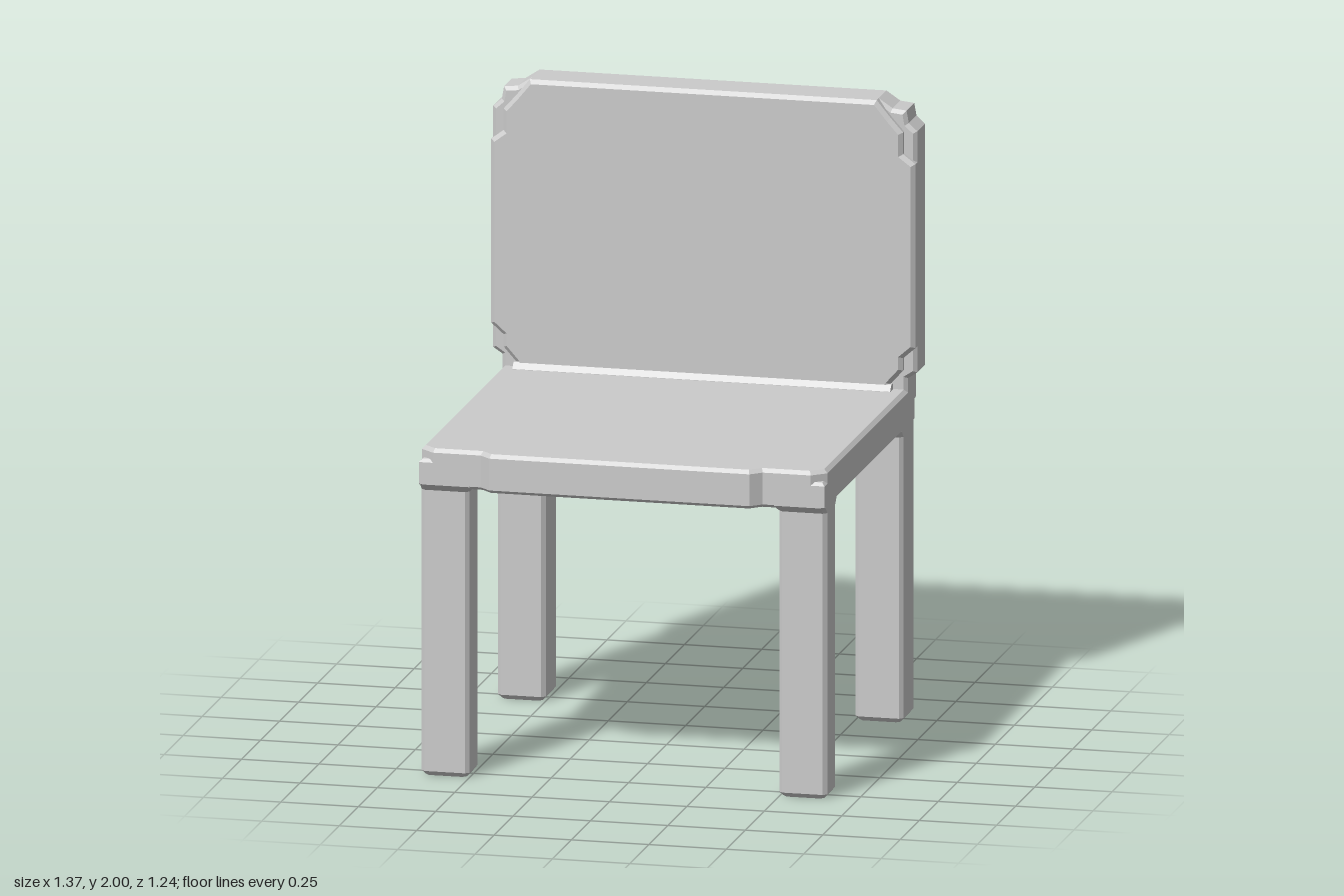
import * as THREE from 'three';

const material = new THREE.MeshStandardMaterial({ color: 0xcccccc, flatShading: true });

function part(name, geometry, parent) {
  const mesh = new THREE.Mesh(geometry, material);
  mesh.name = name;
  parent.add(mesh);
  return mesh;
}

// Bevelled slab from the +x half of a symmetric outline; occupies z = 0..depth
function slab(half, depth, bevel) {
  const mirrored = half.map(([x, y]) => [-x, y]).reverse();
  const shape = new THREE.Shape([...half, ...mirrored].map(([x, y]) => new THREE.Vector2(x, y)));
  return new THREE.ExtrudeGeometry(shape, {
    depth: depth - 2 * bevel, bevelEnabled: true, bevelSegments: 1,
    bevelSize: bevel, bevelThickness: bevel, bevelOffset: -bevel,
  }).translate(0, 0, bevel);
}

// Bar running along x with a profile given as [z, y]
function bar(profile, width) {
  const shape = new THREE.Shape(profile.map(([z, y]) => new THREE.Vector2(z, y)));
  return new THREE.ExtrudeGeometry(shape, { depth: width, bevelEnabled: false })
    .translate(0, 0, -width / 2).rotateY(-Math.PI / 2);
}

// Rectangle with cut corners, at height y
function ring(x0, x1, z0, z1, c, y) {
  return [
    [x0 + c, z1], [x1 - c, z1], [x1, z1 - c], [x1, z0 + c],
    [x1 - c, z0], [x0 + c, z0], [x0, z0 + c], [x0, z1 - c],
  ].map(([x, z]) => [x, y, z]);
}

// Closed skin through rings stacked from bottom to top
function loft(rings) {
  const n = rings[0].length, index = [];
  for (let r = 0; r < rings.length - 1; r++) {
    for (let i = 0; i < n; i++) {
      const a = r * n + i, b = r * n + (i + 1) % n;
      index.push(a, b, b + n, a, b + n, a + n);
    }
  }
  const top = (rings.length - 1) * n;
  for (let i = 1; i < n - 1; i++) {
    index.push(0, i + 1, i, top, top + i, top + i + 1);
  }
  const geometry = new THREE.BufferGeometry();
  geometry.setAttribute('position', new THREE.Float32BufferAttribute(rings.flat(2), 3));
  geometry.setIndex(index);
  const flat = geometry.toNonIndexed();
  flat.computeVertexNormals();
  return flat;
}

// Leg whose top flares into the seat on its inner faces, and at the front if asked
function leg(x0, x1, z0, z1, flare) {
  const c = 0.012, e = 0.012;
  return loft([
    ring(x0 + e, x1 - e, z0 + e, z1 - e, c, 0),
    ring(x0, x1, z0, z1, c, 0.015),
    ring(x0, x1, z0, z1, c, 0.925),
    ring(x0 - flare.left, x1 + flare.right, z0 - flare.back, z1 + flare.front, c, 0.948),
    ring(x0 - flare.left, x1 + flare.right, z0 - flare.back, z1 + flare.front, c, 0.965),
  ]);
}

export function createModel() {
  const chair = new THREE.Group();
  chair.name = 'chair';

  // Seat: square-cornered base with a cut-cornered top layer and a front lip
  const seat = new THREE.Group();
  seat.name = 'seat';
  chair.add(seat);
  const lip = [[0.455, 0.59], [0.42, 0.622]];
  part('seatBase', slab([[0.655, -0.59], [0.655, 0.59], ...lip], 0.09, 0.01)
    .rotateX(Math.PI / 2).translate(0, 1.03, 0), seat);
  part('seatTop', slab([[0.655, -0.59], [0.655, 0.55], [0.61, 0.59], ...lip], 0.09, 0.012)
    .rotateX(Math.PI / 2).translate(0, 1.065, 0), seat);

  // Legs
  for (const side of [1, -1]) {
    const [x0, x1] = side > 0 ? [0.5, 0.655] : [-0.655, -0.5];
    const name = side > 0 ? 'left' : 'right';
    const inner = { left: side > 0 ? 0.02 : 0, right: side > 0 ? 0 : 0.02 };
    part(name + 'FrontLeg', leg(x0, x1, 0.44, 0.565, { ...inner, back: 0.02, front: 0.025 }), chair);
    part(name + 'BackLeg', leg(x0, x1, -0.59, -0.435, { ...inner, back: 0, front: 0.02 }), chair);
  }

  // Backrest: stepped rear panel and a front panel with notched corners
  const backrest = new THREE.Group();
  backrest.name = 'backrest';
  chair.add(backrest);
  part('rearPanel', slab([
    [0.655, 1.015], [0.655, 1.1], [0.685, 1.12], [0.685, 1.9],
    [0.657, 1.925], [0.65, 1.965], [0.605, 1.97], [0.56, 2],
  ], 0.125, 0.012).translate(0, 0, -0.622), backrest);
  part('frontPanel', slab([
    [0.605, 1.04], [0.605, 1.085], [0.645, 1.13], [0.645, 1.17], [0.685, 1.205],
    [0.685, 1.8], [0.645, 1.83], [0.645, 1.9], [0.605, 1.945], [0.56, 2],
  ], 0.07, 0.013).translate(0, 0, -0.54), backrest);

  // Sloped ledge behind the seat and small fillet where seat meets backrest
  part('rearLedge', bar([[-0.5, 1.035], [-0.618, 1.035], [-0.618, 1.02], [-0.588, 0.985], [-0.5, 0.985]], 1.3), backrest);
  part('seatFillet', bar([[-0.49, 1.05], [-0.455, 1.06], [-0.455, 1.066], [-0.471, 1.085], [-0.49, 1.085]], 1.22), backrest);

  return chair;
}
